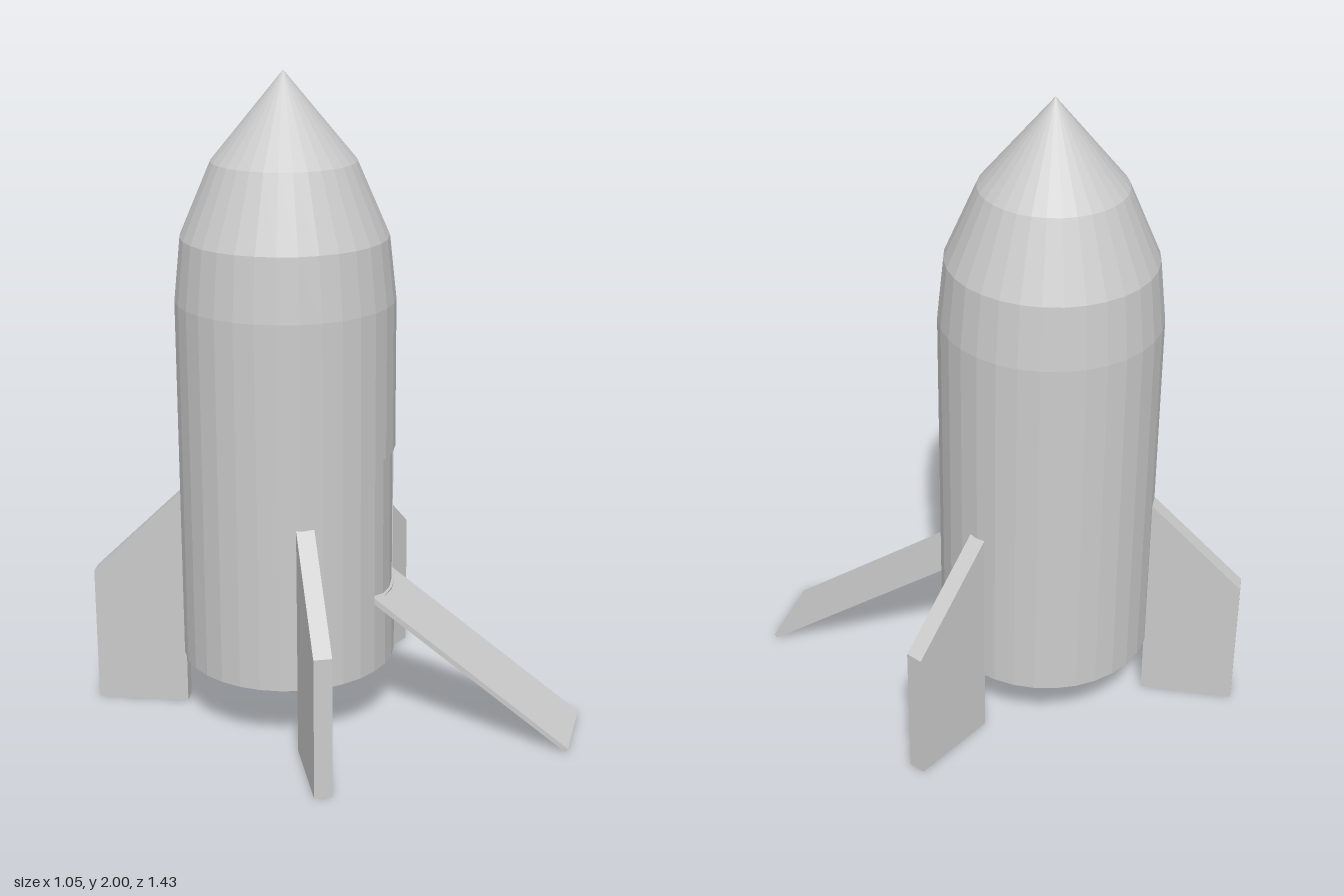
import * as THREE from 'three';

const R = 0.33, SIDES = 32, DOOR_DEPTH = 0.008;
const DOOR_BOTTOM = 0.43, DOOR_TOP = 0.87;

const material = new THREE.MeshStandardMaterial({ color: 0xcccccc, flatShading: true });

function addMesh(parent, name, geometry) {
  const mesh = new THREE.Mesh(geometry, material);
  mesh.name = name;
  parent.add(mesh);
  return mesh;
}

// Flat plate with a (radius, height) outline, turned about the hull axis
function radialPlate(parent, name, outline, thickness, degrees) {
  const shape = new THREE.Shape(outline.map(([r, y]) => new THREE.Vector2(r, y)));
  const geometry = new THREE.ExtrudeGeometry(shape, { depth: thickness, bevelEnabled: false });
  geometry.translate(0, 0, -thickness / 2);
  addMesh(parent, name, geometry).rotation.y = -THREE.MathUtils.degToRad(degrees);
}

// Hull outline with a shallow notch over the doorway (one eighth of the circle)
function notchedOutline() {
  const points = [];
  const add = (i, r) => {
    const a = (i / SIDES) * Math.PI * 2;
    points.push(new THREE.Vector2(r * Math.sin(a), -r * Math.cos(a)));
  };
  const door = SIDES / 8;
  for (let i = 0; i <= door; i++) add(i, R - DOOR_DEPTH);
  for (let i = door; i <= SIDES; i++) add(i, R);
  return new THREE.Shape(points);
}

export function createModel() {
  const rocket = new THREE.Group();
  rocket.name = 'rocket';
  rocket.position.set(-0.09, 0, -0.175);

  // Lower hull with a closed base
  const lower = new THREE.CylinderGeometry(R, R, DOOR_BOTTOM - 0.2, SIDES);
  lower.translate(0, (DOOR_BOTTOM + 0.2) / 2, 0);
  addMesh(rocket, 'lowerHull', lower);

  // Hull section with the recessed doorway
  const middle = new THREE.ExtrudeGeometry(notchedOutline(), {
    depth: DOOR_TOP - DOOR_BOTTOM, bevelEnabled: false,
  });
  middle.rotateX(-Math.PI / 2).translate(0, DOOR_BOTTOM, 0);
  addMesh(rocket, 'doorwayHull', middle);

  // Upper hull and nose cone
  const profile = [[0, DOOR_TOP], [R, DOOR_TOP], [R, 1.33], [0.31, 1.52], [0.215, 1.74], [0, 2]];
  addMesh(rocket, 'upperHullAndNose',
    new THREE.LatheGeometry(profile.map(([r, y]) => new THREE.Vector2(r, y)), SIDES));

  // Three landing fins
  const finOutline = [[0.325, 0], [0.614, 0], [0.614, 0.435], [0.325, 0.715]];
  for (const degrees of [0, 133, 240]) radialPlate(rocket, 'fin', finOutline, 0.054, degrees);

  // Door folded down as a ramp
  const rampOutline = [[0.285, 0.436], [0.897, 0], [0.905, 0.012], [0.296, 0.448]];
  radialPlate(rocket, 'ramp', rampOutline, 0.253, 67.5);

  const model = new THREE.Group();
  model.name = 'model';
  model.add(rocket);
  return model;
}
